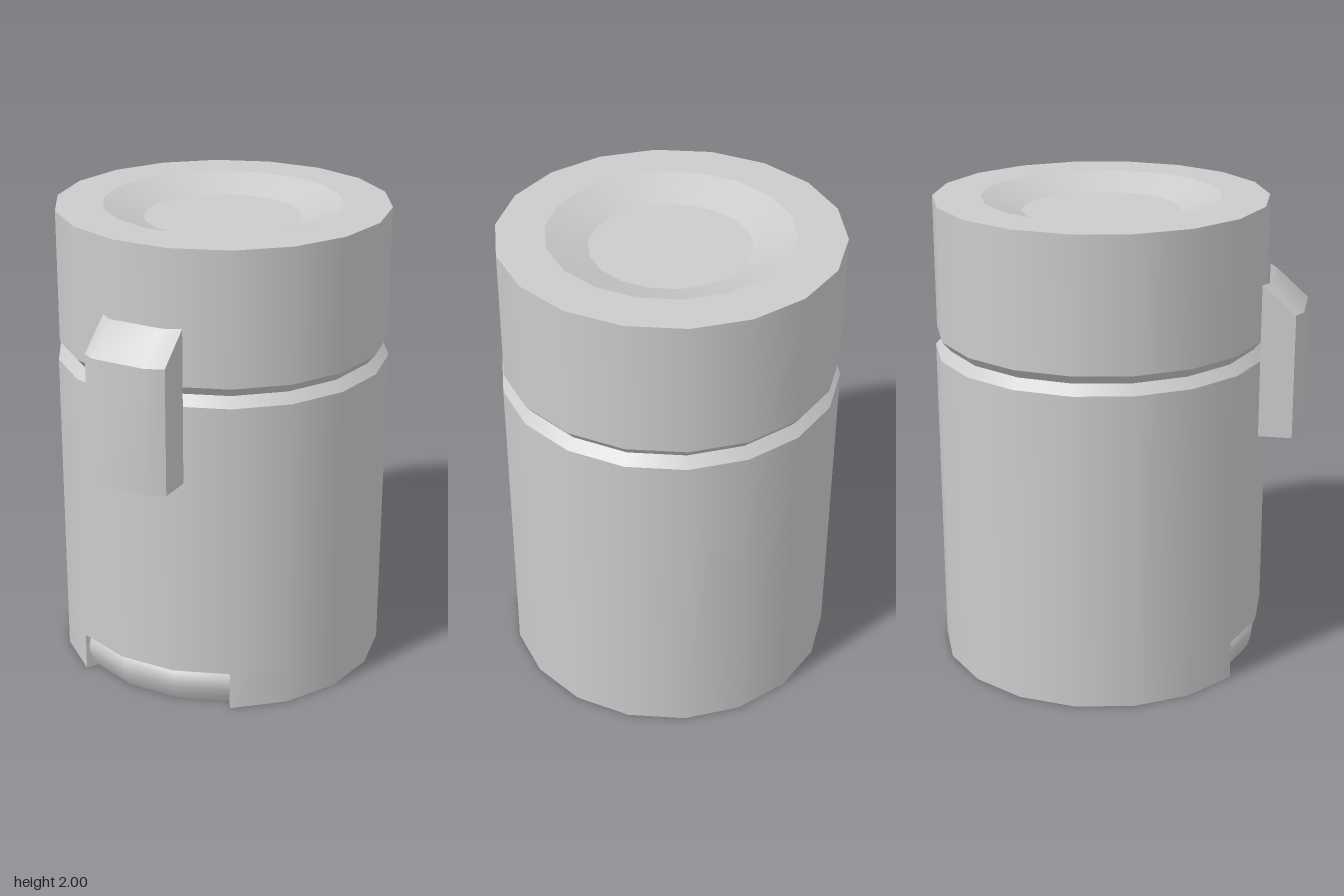
import * as THREE from 'three';
import { toCreasedNormals } from 'three/addons/utils/BufferGeometryUtils.js';

const SIDES = 18;
const STEP = (Math.PI * 2) / SIDES;
const TURN = THREE.MathUtils.degToRad(11); // first corner, measured from the front
const AXIS_Z = -0.08; // the can's axis
const NOTCH_H = 0.165; // height of the front notch
const R = 0.705;

const material = new THREE.MeshStandardMaterial({ color: 0xcccccc, side: THREE.DoubleSide });

// Smooth revolved band from side number `from`, `count` sides long
function band(name, points, from = 0, count = SIDES) {
  const geo = new THREE.LatheGeometry(
    points.map(([r, y]) => new THREE.Vector2(r, y)), count, TURN + from * STEP, count * STEP);
  const mesh = new THREE.Mesh(geo, material);
  mesh.name = name;
  return mesh;
}

// One band per profile segment, so the edges between them stay sharp
function creasedBands(name, points, from, count) {
  const group = new THREE.Group();
  group.name = name;
  for (let i = 0; i < points.length - 1; i++) {
    group.add(band(name + 'Band', [points[i], points[i + 1]], from, count));
  }
  return group;
}

// Latch: side profile swept across x, following the curve of the wall
function latchGeometry() {
  const columns = [ // x, back z, front z
    [-0.16, 0.61, 0.75], [-0.11, 0.645, 0.778], [0.125, 0.645, 0.778], [0.195, 0.61, 0.745],
  ];
  const rings = columns.map(([x, back, front]) => [
    [x, 1.04, back], [x, 1.04, front], [x, 1.57, front], [x, 1.69, back],
  ]);
  const pos = [];
  const quad = (a, b, c, d) => pos.push(...a, ...b, ...c, ...a, ...c, ...d);
  for (let i = 0; i < rings.length - 1; i++) {
    for (let j = 0; j < 4; j++) {
      const k = (j + 1) % 4;
      quad(rings[i][j], rings[i + 1][j], rings[i + 1][k], rings[i][k]);
    }
  }
  const [p, q] = [rings[0], rings[rings.length - 1]];
  quad(p[0], p[1], p[2], p[3]);
  quad(q[3], q[2], q[1], q[0]);
  const geo = new THREE.BufferGeometry();
  geo.setAttribute('position', new THREE.Float32BufferAttribute(pos, 3));
  return toCreasedNormals(geo, 0.6);
}

export function createModel() {
  const model = new THREE.Group();
  model.name = 'canister';
  const can = new THREE.Group();
  can.name = 'can';
  can.position.z = AXIS_Z;
  model.add(can);

  // Base ring, left open over three sides at the front
  can.add(creasedBands('base', [[0, 0], [R, 0], [R, NOTCH_H]], 1, SIDES - 3));

  // Rounded grip filling the notch, with the floor behind it and the ledge above
  can.add(band('gripFloor', [[0, 0], [0.65, 0]], -2, 3));
  can.add(band('grip', [
    [0.65, 0], [0.672, 0.035], [0.686, 0.075], [0.69, 0.105], [0.682, 0.14], [0.655, NOTCH_H],
  ], -2, 3));
  can.add(band('notchCeiling', [[0.655, NOTCH_H], [R, NOTCH_H]], -2, 3));

  // Flat ends of the notch
  for (const side of [-2, 1]) {
    const geo = new THREE.PlaneGeometry(0.105, NOTCH_H);
    geo.translate(R - 0.0525, NOTCH_H / 2, 0);
    const wall = new THREE.Mesh(geo, material);
    wall.name = 'notchEnd';
    wall.rotation.y = TURN + side * STEP - Math.PI / 2;
    can.add(wall);
  }

  // Wall and its bevelled shoulder
  can.add(creasedBands('body', [[R, NOTCH_H], [R, 1.36], [0.665, 1.4]]));

  // Lid with bevelled lower edge and dished top
  can.add(creasedBands('lid', [
    [0.665, 1.4], [0.698, 1.44], [0.698, 2], [0.5, 2], [0.33, 1.94], [0, 1.94],
  ]));

  const latch = new THREE.Mesh(latchGeometry(), material);
  latch.name = 'latch';
  model.add(latch);

  return model;
}
